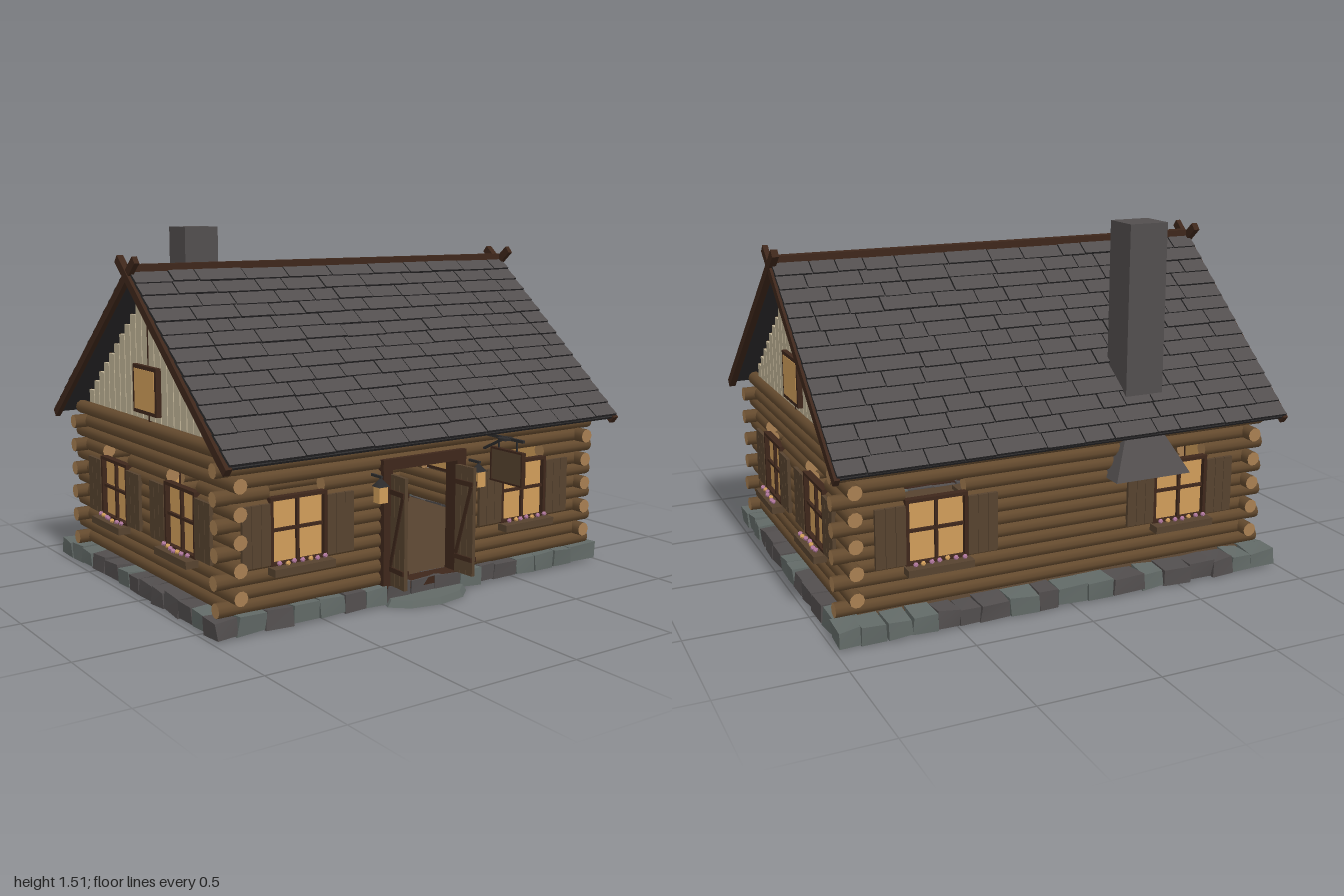
import * as THREE from 'three';

const mat = (name, color) => {
  const m = new THREE.MeshStandardMaterial({ color });
  m.name = name;
  return m;
};

export function createModel() {
  const log = mat('log brown', 0x644a2e), logEnd = mat('cut wood', 0xa87f52);
  const trim = mat('dark trim', 0x3e271b), board = mat('board brown', 0x57432f);
  const slate = mat('slate grey', 0x524e4e), pale = mat('pale plank', 0xc0b396);
  const glow = mat('window glow', 0xd09d5a), stone = mat('stone grey', 0x626a67);
  const iron = mat('iron', 0x2c2b2c), pink = mat('flower pink', 0xb0789c);

  const model = new THREE.Group();
  model.name = 'logCabin';
  let seed = 7;
  const rnd = () => (seed = (seed * 16807) % 2147483647) / 2147483647;
  const add = (parent, name, geo, material, x = 0, y = 0, z = 0) => {
    const m = new THREE.Mesh(geo, material);
    m.name = name;
    m.position.set(x, y, z);
    parent.add(m);
    return m;
  };
  const box = (parent, name, material, w, h, d, x, y, z) =>
    add(parent, name, new THREE.BoxGeometry(w, h, d), material, x, y, z);
  const group = (parent, name, x = 0, y = 0, z = 0, ry = 0) => {
    const g = new THREE.Group();
    g.name = name;
    g.position.set(x, y, z);
    g.rotation.y = ry;
    parent.add(g);
    return g;
  };

  const CZ = -0.063, HX = 0.89, HZ = 0.643; // wall centre and half sizes

  // A log wall facing local +z; openings are [x0, x1, y0, y1]
  const logWall = (name, half, parity, openings, x, z, ry) => {
    const g = group(model, name, x, 0, z, ry);
    for (let k = 0; k < 12; k++) {
      const y = 0.11 + k * 0.0535;
      const end = half + (k % 2 === parity ? 0.07 + rnd() * 0.008 : 0);
      let from = -end;
      const cuts = openings.filter(o => y > o[2] && y < o[3]).sort((a, b) => a[0] - b[0]);
      for (const [a, b] of [...cuts, [end, end]]) {
        const geo = new THREE.CylinderGeometry(0.03, 0.03, a - from, 10).rotateZ(Math.PI / 2);
        add(g, 'log', geo, [log, logEnd, logEnd], (from + a) / 2, y, 0);
        from = b;
      }
    }
    return g;
  };

  // Four-pane window with shutters and a flower box
  const windowAt = (wall, x) => {
    const g = group(wall, 'window', x, 0.385, 0);
    box(g, 'glass', glow, 0.25, 0.26, 0.008, 0, 0, 0.015);
    for (const s of [-1, 1]) {
      box(g, 'frameSide', trim, 0.014, 0.27, 0.03, s * 0.122, 0, 0.025);
      box(g, 'frameRail', trim, 0.25, 0.014, 0.03, 0, s * 0.128, 0.025);
      const shutter = group(g, 'shutter', s * 0.192, -0.005, 0.036);
      for (const p of [-1, 0, 1]) box(shutter, 'slat', board, 0.04, 0.24, 0.014, p * 0.042, 0, 0);
      for (const p of [-1, 1]) box(shutter, 'batten', board, 0.12, 0.02, 0.008, 0, p * 0.085, -0.008);
    }
    box(g, 'mullion', trim, 0.012, 0.26, 0.016, 0, 0, 0.024);
    box(g, 'muntin', trim, 0.25, 0.012, 0.016, 0, 0.005, 0.024);
    box(g, 'flowerBox', board, 0.275, 0.03, 0.055, 0, -0.147, 0.058);
    for (let i = 0; i < 7; i++) {
      add(g, 'flower', new THREE.IcosahedronGeometry(0.011, 0), i % 3 === 1 ? glow : pink,
        (i - 3) * 0.034, -0.122 + rnd() * 0.006, 0.055 + rnd() * 0.015);
    }
  };
  const hole = x => [x - 0.125, x + 0.125, 0.25, 0.56];

  const front = logWall('frontWall', HX, 0, [hole(-0.61), hole(0.55), [-0.18, 0.18, 0, 0.59]], 0, CZ + HZ, 0);
  const back = logWall('backWall', HX, 0, [hole(-0.55), hole(0.55)], 0, CZ - HZ, Math.PI);
  [-0.61, 0.55].forEach(x => windowAt(front, x));
  [-0.55, 0.55].forEach(x => windowAt(back, x));

  // Side walls with plank gables
  for (const s of [-1, 1]) {
    const side = logWall('sideWall', HZ, 1, [hole(-0.305), hole(0.305)], s * HX, CZ, s * Math.PI / 2);
    [-0.305, 0.305].forEach(x => windowAt(side, x));
    const gable = group(side, 'gable');
    for (let i = 0; i < 11; i++) for (const q of [-1, 1]) {
      const top = 1.3 - 0.84 * (i + 1) * 0.055, h = top - 0.735;
      box(gable, 'plank', pale, 0.049, h, 0.02, q * (i + 0.5) * 0.055, 0.735 + h / 2, 0);
      box(gable, 'plankJoint', log, 0.008, h, 0.008, q * (i + 1) * 0.055, 0.735 + h / 2, 0);
    }
    box(gable, 'centreBatten', trim, 0.01, 0.54, 0.022, 0, 1.0, 0);
    box(gable, 'atticFrame', trim, 0.215, 0.2, 0.04, 0, 0.862, 0.01);
    box(gable, 'atticGlass', glow, 0.182, 0.168, 0.008, 0, 0.862, 0.028);
  }

  // Roof: dark deck, overlapping slates, crossed bargeboards
  const SLOPE = 1.025, ROWS = 14, pitch = SLOPE / ROWS;
  const slateMats = [iron, iron, slate, iron, iron, iron];
  for (const s of [0, 1]) {
    const half = group(model, s ? 'backRoof' : 'frontRoof', 0, 1.33, CZ, s * Math.PI);
    const r = group(half, 'roofSlope');
    r.rotation.x = THREE.MathUtils.degToRad(40);
    box(r, 'deck', iron, 1.95, 0.012, SLOPE, 0, 0.008, SLOPE / 2);
    for (let i = 0; i < ROWS; i++) {
      let x = -0.985;
      while (x < 0.98) {
        let w = 0.1 + rnd() * 0.14;
        if (x + w > 0.9) w = 0.985 - x;
        const len = pitch * 1.12 + rnd() * 0.01;
        const m = box(r, 'slate', slateMats, w - 0.005, 0.012, len,
          x + w / 2, 0.023 + rnd() * 0.003, (i + 1) * pitch - len / 2 + rnd() * 0.004);
        m.rotation.x = -0.1;
        x += w;
      }
    }
    for (const q of [-1, 1]) {
      box(r, 'bargeboard', trim, s ? 0.022 : 0.028, 0.036, 1.135, q * 0.982, 0, 0.465);
    }
  }
  box(model, 'ridgeCap', trim, 1.95, 0.03, 0.045, 0, 1.36, CZ);
  box(model, 'ridgeBeam', trim, 1.9, 0.035, 0.035, 0, 1.272, CZ);

  // Chimney and its flared smoke hood
  box(model, 'chimney', slate, 0.17, 0.86, 0.155, -0.37, 1.08, -0.65);
  add(model, 'smokeHood', new THREE.CylinderGeometry(0.12, 0.245, 0.17, 4, 1).rotateY(Math.PI / 4)
    .toNonIndexed(), slate, -0.37, 0.57, -0.65).geometry.computeVertexNormals();

  // Irregular foundation stones and floor
  const stoneAt = (w, d, x, z) => {
    const geo = new THREE.BoxGeometry(w, 0.07, d), p = geo.attributes.position;
    const off = Array.from({ length: 24 }, () => (rnd() - 0.5) * 0.014);
    for (let i = 0; i < p.count; i++) {
      const c = 3 * ((p.getX(i) > 0) + 2 * (p.getY(i) > 0) + 4 * (p.getZ(i) > 0));
      p.setXYZ(i, p.getX(i) + off[c], p.getY(i) + off[c + 1], p.getZ(i) + off[c + 2]);
    }
    geo.computeVertexNormals();
    add(model, 'foundationStone', geo, rnd() > 0.5 ? stone : slate, x, 0.046, z);
  };
  const rowOfStones = (from, to, place) => {
    for (let t = from; t < to - 0.01;) {
      let w = 0.08 + rnd() * 0.06;
      if (t + w > to - 0.07) w = to - t;
      place(w - 0.003, t + w / 2);
      t += w;
    }
  };
  rowOfStones(-0.985, 0.985, (w, x) => stoneAt(w, 0.1, x, 0.58));
  rowOfStones(-0.985, 0.985, (w, x) => stoneAt(w, 0.11, x, -0.785));
  for (const s of [-1, 1]) rowOfStones(-0.73, 0.53, (w, z) => stoneAt(0.1, w, s * 0.925, z));
  box(model, 'floor', board, 1.78, 0.05, 1.27, 0, 0.05, -0.1);

  // Doorway with two open leaves, and a flat doorstep
  const door = group(model, 'doorway', 0, 0, CZ + HZ);
  box(door, 'lintel', trim, 0.43, 0.045, 0.075, 0, 0.583, 0.01);
  box(door, 'threshold', trim, 0.38, 0.03, 0.075, 0, 0.07, 0.01);
  for (const s of [-1, 1]) {
    box(door, 'doorPost', trim, 0.045, 0.51, 0.075, s * 0.19, 0.33, 0.01);
    const leaf = group(door, 'doorLeaf', s * 0.17, 0.315, 0.04, s * 0.06);
    for (let i = 0; i < 3; i++) box(leaf, 'doorPlank', board, 0.016, 0.46, 0.034, 0, 0, 0.018 + i * 0.036);
    for (const y of [-0.16, 0.16]) box(leaf, 'doorLedge', trim, 0.03, 0.02, 0.105, 0, y, 0.054);
    box(leaf, 'doorBrace', trim, 0.026, 0.31, 0.016, 0, 0, 0.054).rotation.x = 0.28;
  }
  const step = add(model, 'doorstep', new THREE.CylinderGeometry(0.19, 0.21, 0.028, 9).toNonIndexed(),
    stone, 0, 0.016, 0.63);
  step.geometry.computeVertexNormals();
  step.scale.z = 0.52;

  // Table seen through the doorway
  const table = group(model, 'table', 0, 0, 0);
  box(table, 'tableTop', board, 0.28, 0.018, 0.16, 0, 0.235, 0);
  for (const x of [-0.11, 0.11]) for (const z of [-0.06, 0.06]) {
    box(table, 'tableLeg', trim, 0.02, 0.16, 0.02, x, 0.15, z);
  }
  for (const x of [-0.03, 0.03]) {
    add(table, 'bottle', new THREE.CylinderGeometry(0.005, 0.01, 0.06, 8), logEnd, x, 0.274, 0);
  }

  // Lanterns beside the door
  for (const x of [-0.257, 0.25]) {
    const l = group(model, 'lantern', x, 0.48, 0.665);
    box(l, 'lanternGlass', glow, 0.042, 0.065, 0.042, 0, 0, 0);
    add(l, 'lanternCap', new THREE.ConeGeometry(0.036, 0.035, 4).rotateY(Math.PI / 4), iron, 0, 0.05, 0);
    box(l, 'lanternArm', iron, 0.01, 0.01, 0.075, 0, 0.07, -0.03);
  }

  // Hanging sign on an iron bracket
  const sign = group(model, 'hangingSign', 0.32, 0, 0);
  box(sign, 'signBoard', board, 0.016, 0.14, 0.19, 0, 0.54, 0.765);
  for (const y of [0.472, 0.608]) box(sign, 'signEdge', trim, 0.02, 0.008, 0.19, 0, y, 0.765);
  for (const z of [0.672, 0.858]) box(sign, 'signEdge', trim, 0.02, 0.14, 0.008, 0, 0.54, z);
  box(sign, 'bracketArm', iron, 0.012, 0.012, 0.25, 0, 0.658, 0.735);
  box(sign, 'bracketBrace', iron, 0.01, 0.01, 0.14, 0, 0.625, 0.68).rotation.x = -0.45;
  for (const z of [0.71, 0.82]) box(sign, 'signHanger', iron, 0.006, 0.05, 0.006, 0, 0.63, z);
  add(sign, 'bracketDisc', new THREE.CylinderGeometry(0.032, 0.032, 0.01, 8), iron, -0.01, 0.658, 0.76);

  return model;
}
